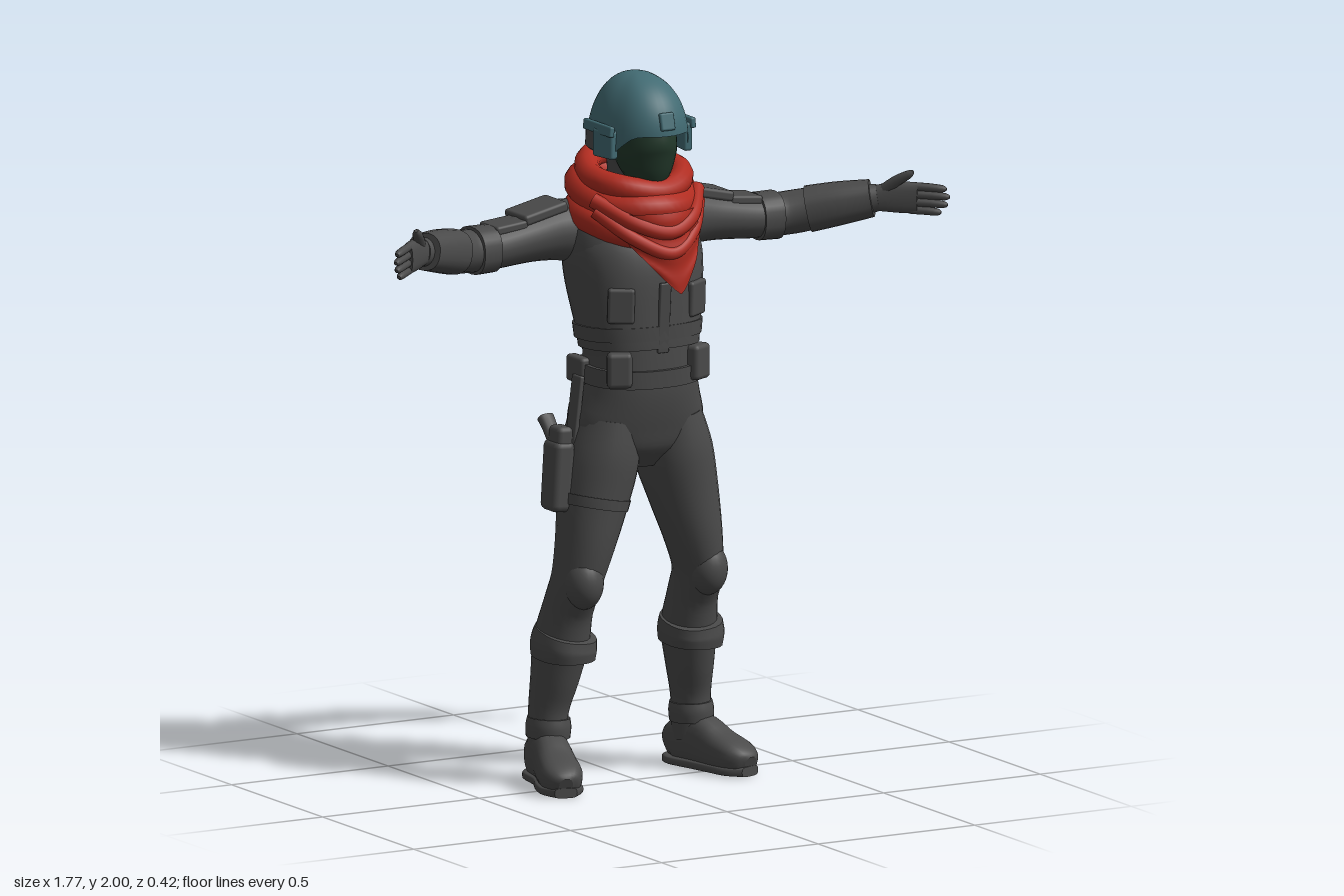
import * as THREE from 'three';
import { mergeVertices } from 'three/addons/utils/BufferGeometryUtils.js';
import { RoundedBoxGeometry } from 'three/addons/geometries/RoundedBoxGeometry.js';

const paint = (name, color, side = THREE.FrontSide) => {
  const m = new THREE.MeshStandardMaterial({ color, side });
  m.name = name;
  return m;
};

// Smooth skin through sections [x, y, z, half width, half depth]; n is the superellipse power
function loft(sections, ref, n = 2, steps = 4, segs = 24) {
  const rows = [];
  const last = sections.length - 1;
  const at = i => sections[Math.min(last, Math.max(0, i))];
  for (let i = 0; i < last; i++)
    for (let k = 0; k < steps + (i === last - 1 ? 1 : 0); k++) {
      const t = k / steps;
      rows.push(at(i).map((b, c) => {
        const a = at(i - 1)[c], d = at(i + 1)[c], e = at(i + 2)[c];
        return b + 0.5 * t * (d - a + t * (2 * a - 5 * b + 4 * d - e + t * (3 * (b - d) + e - a)));
      }));
    }
  const centres = rows.map(r => new THREE.Vector3(r[0], r[1], r[2]));
  const pos = [], idx = [];
  rows.forEach((r, i) => {
    const T = centres[Math.min(i + 1, rows.length - 1)].clone().sub(centres[Math.max(i - 1, 0)]).normalize();
    const U = ref.clone().cross(T).normalize(), V = T.clone().cross(U);
    for (let j = 0; j < segs; j++) {
      const a = j / segs * Math.PI * 2, c = Math.cos(a), s = Math.sin(a);
      const p = centres[i].clone()
        .addScaledVector(U, Math.sign(c) * Math.abs(c) ** (2 / n) * r[3])
        .addScaledVector(V, Math.sign(s) * Math.abs(s) ** (2 / n) * r[4]);
      pos.push(p.x, p.y, p.z);
      const A = i * segs + j, B = i * segs + (j + 1) % segs;
      if (i < rows.length - 1) idx.push(A, B, A + segs, B, B + segs, A + segs);
    }
  });
  // end caps with their own corners
  for (const end of [0, rows.length - 1]) {
    const base = pos.length / 3;
    pos.push(...centres[end].toArray());
    pos.push(...pos.slice(end * segs * 3, (end + 1) * segs * 3));
    for (let j = 0; j < segs; j++) {
      const a = base + 1 + j, b = base + 1 + (j + 1) % segs;
      idx.push(base, ...(end ? [a, b] : [b, a]));
    }
  }
  const g = new THREE.BufferGeometry();
  g.setAttribute('position', new THREE.Float32BufferAttribute(pos, 3));
  g.setIndex(idx);
  g.computeVertexNormals();
  return g;
}

// Moves every vertex by a rule and smooths the result
function deform(geo, rule) {
  geo.deleteAttribute('uv');
  geo.deleteAttribute('normal');
  const p = geo.attributes.position, v = new THREE.Vector3();
  for (let i = 0; i < p.count; i++) {
    rule(v.fromBufferAttribute(p, i));
    p.setXYZ(i, v.x, v.y, v.z);
  }
  const g = mergeVertices(geo, 1e-5);
  g.computeVertexNormals();
  return g;
}

export function createModel() {
  const model = new THREE.Group();
  const grey = paint('suit grey', 0x4a4a4a), teal = paint('helmet teal', 0x426b73, THREE.DoubleSide);
  const greyOpen = grey;
  const red = paint('scarf red', 0xb02c20, THREE.DoubleSide);
  const green = paint('mask green', 0x22382a), skin = paint('skin', 0x9a4a36);
  const X = new THREE.Vector3(1, 0, 0), Y = new THREE.Vector3(0, 1, 0), Z = new THREE.Vector3(0, 0, 1);
  const add = (name, geo, mat = grey) => {
    const m = new THREE.Mesh(geo, mat);
    m.name = name;
    model.add(m);
    return m;
  };
  const box = (name, size, at, rot = [0, 0, 0], mat = grey) => {
    const m = add(name, new RoundedBoxGeometry(...size, 2, Math.min(...size) * 0.3), mat);
    m.position.set(...at);
    m.rotation.set(...rot);
  };
  const ball = (name, r, at, mat = grey) => {
    const m = add(name, new THREE.SphereGeometry(1, 24, 16), mat);
    m.scale.set(...r);
    m.position.set(...at);
  };
  const tube = (name, pts, r, mat, closed = false) => add(name, new THREE.TubeGeometry(
    new THREE.CatmullRomCurve3(pts.map(p => new THREE.Vector3(...p)), closed), 48, r, 12, closed), mat);

  // torso, vest and belt
  add('torso', loft([[0, .89, -.01, .06, .07], [0, .95, -.012, .165, .115], [0, 1.03, -.005, .198, .13],
    [0, 1.12, .012, .172, .133], [0, 1.2, .018, .158, .13], [0, 1.3, .01, .165, .138], [0, 1.42, -.01, .183, .156],
    [0, 1.52, -.028, .192, .15], [0, 1.6, -.04, .17, .125], [0, 1.66, -.03, .12, .09], [0, 1.7, -.02, .07, .07]], Z, 2.3, 4, 36));
  add('vest', loft([[0, 1.235, .015, .167, .14], [0, 1.3, .01, .174, .147], [0, 1.42, -.01, .19, .164],
    [0, 1.5, -.025, .192, .16], [0, 1.56, -.035, .17, .14]], Z, 2.4, 4, 36));
  add('belt', loft([[0, 1.14, .015, .175, .14], [0, 1.19, .018, .171, .14]], Z, 2.3, 2, 36));
  add('waistStrap', loft([[0, 1.26, .01, .176, .147], [0, 1.3, .008, .18, .151]], Z, 2.4, 2, 36));
  box('backPanel', [.19, .3, .03], [0, 1.43, -.165], [.08, 0, 0]);
  box('vestPlacket', [.035, .2, .012], [.0, 1.33, .155], [.08, 0, 0]);

  // neck, face and mask
  add('neck', loft([[0, 1.6, -.03, .075, .075], [0, 1.72, -.02, .068, .075], [0, 1.82, -.01, .085, .1]], Z));
  ball('face', [.086, .11, .118], [0, 1.83, .03], skin);
  add('mask', loft([[0, 1.685, .085, .03, .032], [0, 1.715, .075, .06, .062], [0, 1.76, .06, .08, .092],
    [0, 1.79, .052, .085, .105], [0, 1.82, .045, .086, .108]], Z, 1.9), green);

  // helmet with a rim that is high in front and low at the sides and back
  add('helmet', deform(new THREE.SphereGeometry(1, 40, 20, 0, Math.PI * 2, 0, Math.PI / 2), v => {
    const s = Math.hypot(v.x, v.z), f = s > 1e-6 ? v.z / s : 0;
    const rim = 1.785 + .06 * THREE.MathUtils.smoothstep(f, .3, .85);
    const k = s > 1e-6 ? s ** .9 / s : 0;
    v.set(v.x * k * .13, rim + (2 - rim) * v.y, .008 + v.z * k * .17);
  }), teal);
  const band = add('helmetRearBand', new THREE.CylinderGeometry(1, 1.01, .05, 32, 1, true, Math.PI * .5, Math.PI), greyOpen);
  band.scale.set(.131, 1, .172);
  band.position.set(0, 1.813, .008);
  box('helmetMount', [.045, .05, .02], [0, 1.885, .168], [-.25, 0, 0], teal);

  for (const s of [1, -1]) {
    const side = s > 0 ? 'left' : 'right';
    const M = list => list.map(([x, ...r]) => [x * s, ...r]);
    box(side + 'HelmetRail', [.016, .03, .15], [s * .13, 1.855, .02], [0, 0, s * .1], teal);
    box(side + 'EarGuard', [.026, .08, .085], [s * .124, 1.815, .045], [0, s * -.15, 0], teal);

    // arm and forearm guard
    add(side + 'Arm', loft(M([[.1, 1.545, -.08, .085, .085], [.2, 1.555, -.09, .084, .085], [.3, 1.545, -.085, .073, .069],
      [.42, 1.53, -.075, .064, .06], [.5, 1.53, -.07, .066, .06], [.56, 1.54, -.04, .062, .06],
      [.64, 1.56, .015, .054, .053], [.73, 1.578, .075, .03, .038]]), Y));
    add(side + 'ForearmGuard', loft(M([[.57, 1.543, -.033, .066, .064], [.64, 1.56, .015, .061, .06],
      [.715, 1.576, .066, .05, .052]]), Y, 2.4));
    add(side + 'ElbowCuff', loft(M([[.425, 1.53, -.075, .07, .066], [.485, 1.53, -.071, .072, .067]]), Y, 2.4));
    box(side + 'ShoulderPad', [.14, .03, .12], [s * .265, 1.617, -.09], [0, 0, s * -.22]);
    box(side + 'UpperArmPad', [.1, .025, .1], [s * .375, 1.588, -.08], [0, 0, s * -.1]);

    // hand with thumb up
    add(side + 'Palm', loft(M([[.72, 1.575, .067, .028, .034], [.765, 1.581, .105, .022, .044],
      [.815, 1.58, .147, .016, .044]]), Y, 2.6, 4, 16));
    for (let f = 0; f < 4; f++) {
      const y = 1.613 - f * .022, l = [.92, 1, .95, .78][f];
      add(side + 'Finger', loft(M([[.8, y, .135, .012, .012], [.8 + .045 * l, y - .002, .135 + .037 * l, .012, .0115],
        [.8 + .075 * l, y - .005, .135 + .06 * l, .01, .01], [.8 + .084 * l, y - .006, .135 + .068 * l, .004, .004]]), Y, 2, 2, 10));
    }
    add(side + 'Thumb', loft(M([[.735, 1.595, .085, .016, .018], [.762, 1.628, .118, .016, .016],
      [.785, 1.65, .148, .012, .012], [.793, 1.66, .158, .005, .005]]), Y, 2, 3, 10));

    // leg, knee pad and shin straps
    add(side + 'Leg', loft(M([[.1, 1.03, -.005, .09, .12], [.118, .92, 0, .108, .122], [.145, .8, .01, .098, .104],
      [.173, .68, .015, .08, .092], [.194, .58, .005, .067, .083], [.199, .5, -.03, .068, .078], [.204, .4, -.06, .075, .087],
      [.215, .3, -.075, .066, .075], [.227, .2, -.09, .055, .06], [.23, .08, -.09, .052, .062]]), Z));
    ball(side + 'KneePad', [.056, .075, .058], [s * .198, .585, .053]);
    add(side + 'ShinGuard', loft(M([[.203, .36, -.05, .082, .097], [.203, .395, -.047, .086, .1], [.2, .43, -.04, .081, .092]]), Z, 2.3));
    add(side + 'BootCuff', loft(M([[.229, .13, -.088, .06, .066], [.228, .16, -.088, .062, .068], [.227, .185, -.088, .058, .064]]), Z));

    // boot and sole
    add(side + 'Boot', loft(M([[.213, .05, -.168, .032, .042], [.223, .065, -.135, .05, .062], [.24, .078, -.06, .052, .075],
      [.262, .06, .015, .058, .057], [.28, .048, .075, .059, .046], [.291, .038, .11, .042, .034], [.294, .034, .122, .02, .022]]), Y, 2.6));
    add(side + 'Sole', loft(M([[.212, .014, -.173, .036, .014], [.223, .014, -.135, .055, .014], [.242, .014, -.05, .053, .014],
      [.265, .014, .02, .061, .014], [.281, .014, .078, .061, .014], [.294, .014, .122, .032, .014]]), Y, 4));

    // pouches
    box(side + 'BeltPouch', [.07, .1, .045], [s * .125, 1.19, .125], [0, s * .45, 0]);
    box(side + 'ChestPouch', [.075, .1, .03], [s * .118, 1.37, .122], [.05, s * .5, 0]);
    box(side + 'HipPouch', [.035, .075, .09], [s * .165, 1.17, -.03]);
  }

  // thigh holster on the right leg
  add('thighStrap', loft([[-.148, .79, .01, .101, .108], [-.142, .82, .009, .105, .111]], Z, 2, 2));
  box('holster', [.065, .2, .085], [-.25, .885, 0], [0, 0, -.06]);
  box('holsterFlap', [.05, .06, .065], [-.243, .995, .005], [0, 0, -.06]);
  box('holsterHanger', [.015, .2, .05], [-.195, 1.06, 0], [0, 0, -.12]);
  add('pistolGrip', loft([[-.245, .98, -.02, .016, .024], [-.245, 1.01, -.05, .016, .022], [-.245, 1.035, -.075, .018, .024]], X, 2.5, 2, 12));

  // scarf: stacked rolls, higher at the back, with a draped point
  const rolls = [[1.6, .03, .145, .15, .045], [1.66, .03, .14, .145, .044], [1.71, .03, .128, .132, .036]];
  rolls.forEach(([y, tilt, rx, rz, r], i) => {
    const pts = Array.from({ length: 16 }, (_, k) => {
      const a = k / 16 * Math.PI * 2, w = .005 * Math.sin(a * 3 + i * 2);
      return [(rx + w) * Math.sin(a), y - tilt * Math.cos(a) + w, -.018 + (rz + w) * Math.cos(a)];
    });
    tube('scarfRoll', pts, r, red, true);
  });
  add('scarfPoint', deform(new THREE.PlaneGeometry(2, 1, 24, 20), v => {
    const t = .5 - v.y, x = v.x * (.168 * (1 - t) ** .85 + .002);
    v.set(x + .035 * t, 1.63 - .23 * t - .03 * t * (1 - t) * (1 - v.x * v.x),
      .182 + .008 * t - 4 * x * x + .006 * Math.sin(t * 16 + v.x * v.x * 4) * (1 - t));
  }), red);
  tube('scarfFold', [[-.165, 1.63, .06], [-.09, 1.56, .145], [.012, 1.515, .178], [.1, 1.56, .14], [.165, 1.63, .06]], .019, red);
  tube('scarfFold', [[-.165, 1.66, .05], [-.08, 1.6, .15], [.01, 1.575, .175], [.09, 1.605, .148], [.165, 1.66, .05]], .022, red);
  return model;
}
